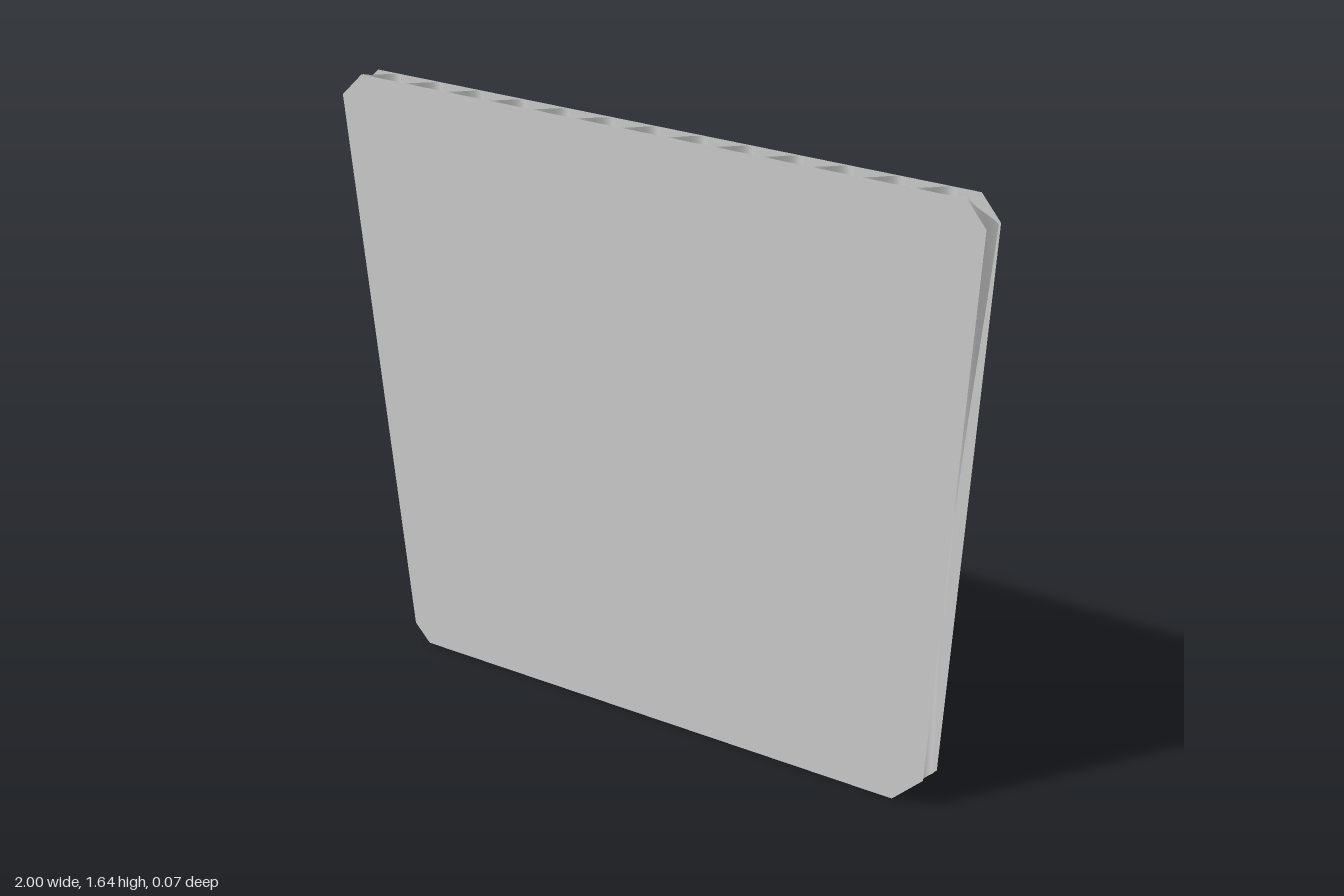
import * as THREE from 'three';

// Outline split into its lower and upper edge, both running from -x to +x
const LOWER = [[-1, 1.575], [-0.8, 0.05], [-0.75, 0], [0.8, 0], [0.89, 0.08], [1, 1.56]];
const UPPER = [[-1, 1.575], [-0.93, 1.64], [0.945, 1.625], [1, 1.56]];
const SHEET_Z = 0.034;
const WAVE_HEIGHT = 0.028;
const WAVE_LENGTH = 0.1435;
const WAVE_PEAK_X = 0.009;

// Height of an edge at a given x
function edgeAt(edge, x) {
  let i = 1;
  while (i < edge.length - 1 && x > edge[i][0]) i++;
  const [x0, y0] = edge[i - 1], [x1, y1] = edge[i];
  return y0 + (y1 - y0) * (x - x0) / (x1 - x0);
}

// Fluted core: a wave across x, trimmed to the outline
function makeFluting() {
  const xs = [...LOWER, ...UPPER.slice(1, -1)].map((p) => p[0]);
  const steps = 240;
  for (let i = 1; i < steps; i++) xs.push(-1 + 2 * i / steps);
  const columns = [...new Set(xs.map((x) => +x.toFixed(5)))].sort((a, b) => a - b);

  const positions = [], indices = [];
  columns.forEach((x, i) => {
    const z = -WAVE_HEIGHT * Math.cos(2 * Math.PI * (x - WAVE_PEAK_X) / WAVE_LENGTH);
    positions.push(x, edgeAt(LOWER, x), z, x, edgeAt(UPPER, x), z);
    if (i > 0) {
      const a = 2 * (i - 1);
      indices.push(a, a + 2, a + 1, a + 1, a + 2, a + 3);
    }
  });
  const geometry = new THREE.BufferGeometry();
  geometry.setAttribute('position', new THREE.Float32BufferAttribute(positions, 3));
  geometry.setIndex(indices);
  geometry.computeVertexNormals();
  return geometry;
}

export function createModel() {
  const group = new THREE.Group();
  group.name = 'corrugatedBoard';
  const material = new THREE.MeshStandardMaterial({ color: 0xcccccc, side: THREE.DoubleSide });

  // Flat liner sheets, front and back
  const outline = [...LOWER, ...UPPER.slice(1, -1).reverse()];
  const shape = new THREE.Shape(outline.map(([x, y]) => new THREE.Vector2(x, y)));
  for (const [name, side] of [['frontSheet', 1], ['backSheet', -1]]) {
    const sheet = new THREE.Mesh(new THREE.ShapeGeometry(shape), material);
    sheet.name = name;
    if (side < 0) {
      // Turn the back sheet's faces outward while keeping its outline
      sheet.geometry.index.array.reverse();
      sheet.geometry.computeVertexNormals();
    }
    sheet.position.z = side * SHEET_Z;
    group.add(sheet);
  }

  // Wavy core between the sheets
  const fluting = new THREE.Mesh(makeFluting(), material);
  fluting.name = 'fluting';
  group.add(fluting);

  return group;
}
